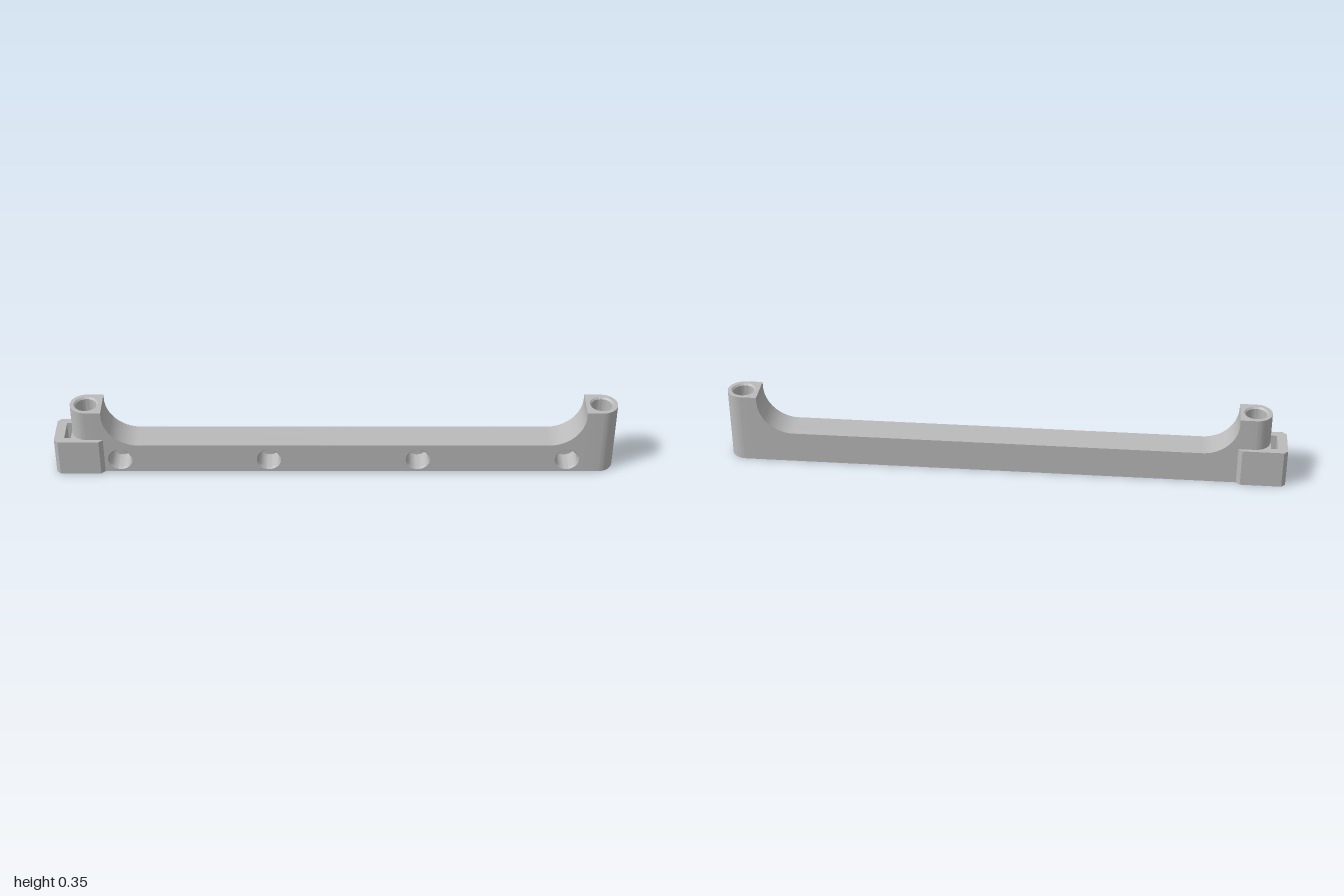
import * as THREE from 'three';
import { toCreasedNormals } from 'three/addons/utils/BufferGeometryUtils.js';

const HALF = 0.077;      // half width of the bar, also radius of the post ends
const POST_TOP = 0.35;
const BAR_TOP = 0.157;
const BLOCK_TOP = 0.19;
const BACK = -1.178;     // post centres along the bar
const FRONT = 1.303;
const FILLET = 0.17;

export function createModel() {
  const grey = new THREE.MeshStandardMaterial({ color: 0xbababa, side: THREE.DoubleSide });
  grey.name = 'satin grey';
  const model = new THREE.Group();
  model.name = 'diagonalBar';
  const bar = new THREE.Group();
  bar.name = 'barAssembly';
  bar.rotation.y = -Math.PI / 4;
  model.add(bar);

  const add = (name, geometry, x = 0, y = 0, z = 0) => {
    const mesh = new THREE.Mesh(toCreasedNormals(geometry, 0.5), grey);
    mesh.name = name;
    mesh.position.set(x, y, z);
    bar.add(mesh);
  };
  const circle = (x, y, r) => new THREE.Path().absarc(x, y, r, 0, Math.PI * 2, true);
  const extrude = (shape, depth) =>
    new THREE.ExtrudeGeometry(shape, { depth, bevelEnabled: false, curveSegments: 24 });
  const upright = (shape, height) => extrude(shape, height).rotateX(-Math.PI / 2);
  const lathe = (points) =>
    new THREE.LatheGeometry(points.map(([r, y]) => new THREE.Vector2(r, y)), 48);

  // Bar side profile, sweeping up to a post at each end
  const profile = () => {
    const a = BACK + HALF, b = FRONT - HALF, y = BAR_TOP + FILLET;
    const s = new THREE.Shape();
    s.moveTo(a, 0);
    s.lineTo(b, 0);
    s.lineTo(b, POST_TOP);
    s.lineTo(b, y);
    s.absarc(b - FILLET, y, FILLET, 0, -Math.PI / 2, true);
    s.lineTo(a + FILLET, BAR_TOP);
    s.absarc(a + FILLET, y, FILLET, -Math.PI / 2, -Math.PI, true);
    s.lineTo(a, POST_TOP);
    return s;
  };

  // Solid back layer and drilled front layer of the bar
  const depth = 0.11;
  add('barBack', extrude(profile(), 2 * HALF - depth), 0, 0, -HALF);
  const drilled = profile();
  const holeY = 0.072, holeR = 0.059;
  const holes = [-1.025, -0.301, 0.423, 1.148];
  holes.forEach((x) => drilled.holes.push(circle(x, holeY, holeR)));
  add('barFront', extrude(drilled, depth), 0, 0, HALF - depth);

  // Chamfered linings of the blind side holes
  holes.forEach((x) => add('sideHole',
    lathe([[0, -depth + 0.001], [0.052, -depth + 0.001], [0.052, -0.008], [holeR, 0]]).rotateX(Math.PI / 2),
    x, holeY, HALF));

  // Posts: half round outside, flat towards the bar
  const boreR = 0.058;
  const post = (name, x, dir, y0) => {
    const s = new THREE.Shape();
    s.moveTo(HALF, -HALF);
    s.lineTo(HALF, HALF);
    s.lineTo(0, HALF);
    s.absarc(0, 0, HALF, Math.PI / 2, Math.PI * 1.5, false);
    s.holes.push(circle(0, 0, boreR));
    const g = upright(s, POST_TOP - y0);
    if (dir < 0) g.rotateY(Math.PI);
    add(name, g, x, y0, 0);
    // Counterbore above and below, joined by a narrow through hole
    add(name + 'Bore', lathe([
      [boreR, 0], [0.05, 0.008], [0.05, 0.08], [0.018, 0.08],
      [0.018, 0.26], [0.05, 0.26], [0.05, POST_TOP - 0.008], [boreR, POST_TOP],
    ]), x, 0, 0);
  };
  post('backPost', BACK, 1, BLOCK_TOP);
  post('frontPost', FRONT, -1, 0);

  // Chamfered end block with a strap slot
  const w = 0.096, c = 0.019, u0 = -1.337, u1 = BACK + HALF;
  const block = new THREE.Shape([
    [u0, -w + c], [u0 + c, -w], [u1 - c, -w], [u1, -w + c],
    [u1, w - c], [u1 - c, w], [u0 + c, w], [u0, w - c],
  ].map(([x, y]) => new THREE.Vector2(x, y)));
  block.holes.push(circle(BACK, 0, boreR));
  const sx = -1.273, sw = 0.016, sl = 0.06;
  block.holes.push(new THREE.Path([
    [sx - sw, -sl], [sx - sw, sl], [sx + sw, sl], [sx + sw, -sl],
  ].map(([x, y]) => new THREE.Vector2(x, y))));
  add('endBlock', upright(block, BLOCK_TOP));

  return model;
}
